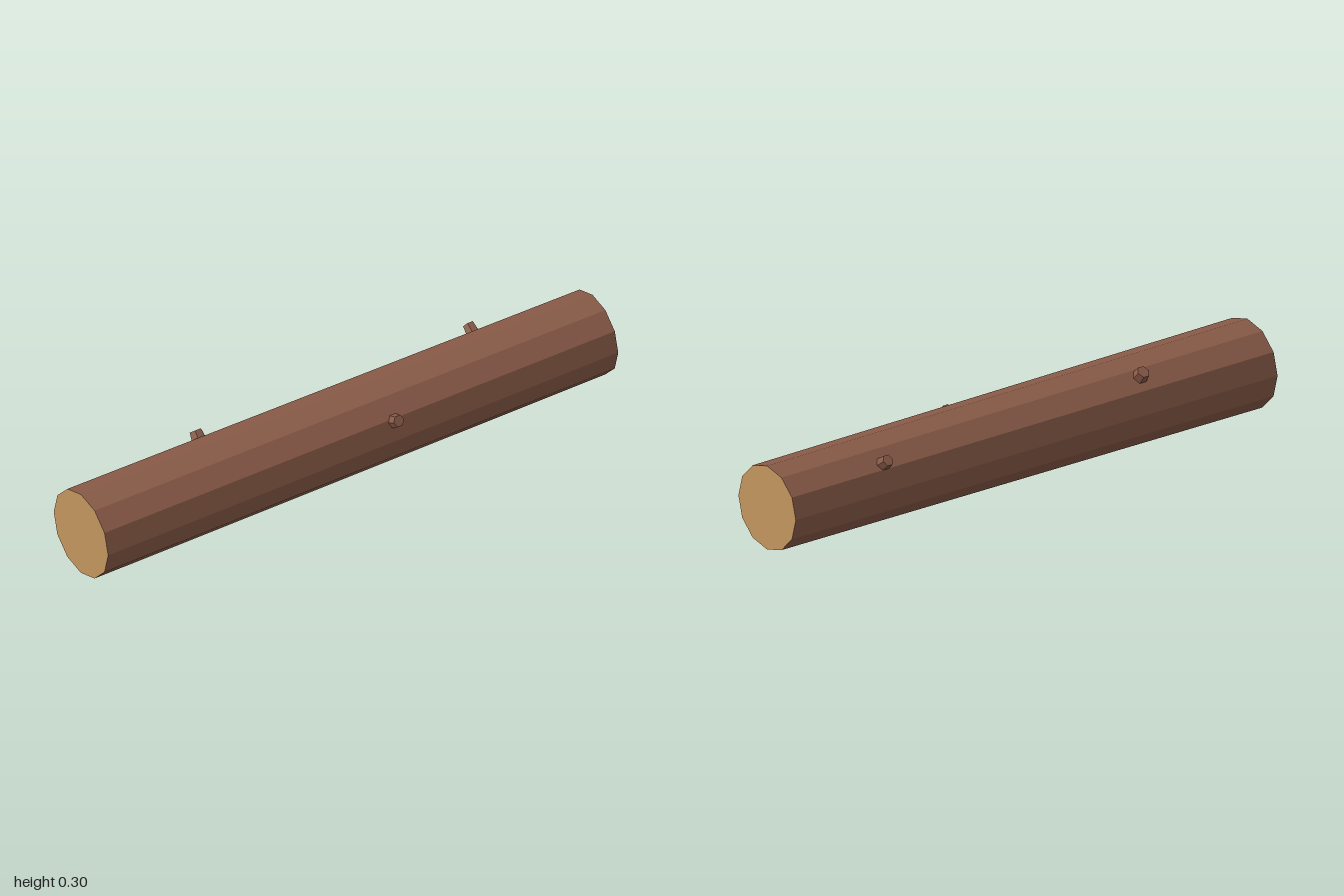
import * as THREE from 'three';

export function createModel() {
  const model = new THREE.Group();
  model.name = 'log';

  const bark = new THREE.MeshStandardMaterial({ color: 0x885a47, flatShading: true });
  bark.name = 'bark brown';
  const cutWood = new THREE.MeshStandardMaterial({ color: 0xc4965f, flatShading: true });
  cutWood.name = 'cut wood tan';

  const centreY = 0.153, centreZ = -0.004;

  // Twelve-sided trunk lying along x, slightly thinner at +x, with pale sawn ends
  const trunkShape = new THREE.CylinderGeometry(0.1435, 0.1515, 2, 12);
  trunkShape.rotateZ(-Math.PI / 2);
  const trunk = new THREE.Mesh(trunkShape, [bark, cutWood, cutWood]);
  trunk.name = 'trunk';
  trunk.position.set(0, centreY, centreZ);
  model.add(trunk);

  // Short tapered branch stubs: place along the trunk, angle above horizontal, side, thickness
  const stubs = [
    { name: 'frontStub', x: 0.135, angle: 27, side: 1, r: 0.02 },
    { name: 'backRightStub', x: -0.475, angle: 50, side: -1, r: 0.022 },
    { name: 'backLeftStub', x: 0.61, angle: 38, side: -1, r: 0.02 },
  ];
  const length = 0.06, reach = 0.173;
  for (const { name, x, angle, side, r } of stubs) {
    const a = THREE.MathUtils.degToRad(angle);
    const out = new THREE.Vector3(0, Math.sin(a), side * Math.cos(a));
    const shape = new THREE.CylinderGeometry(r, r * 1.4, length, 6, 1, false, Math.PI / 2);
    const stub = new THREE.Mesh(shape, bark);
    stub.name = name;
    stub.quaternion.setFromUnitVectors(new THREE.Vector3(0, 1, 0), out);
    stub.position.set(x, centreY, centreZ).addScaledVector(out, reach - length / 2);
    model.add(stub);
  }

  return model;
}
